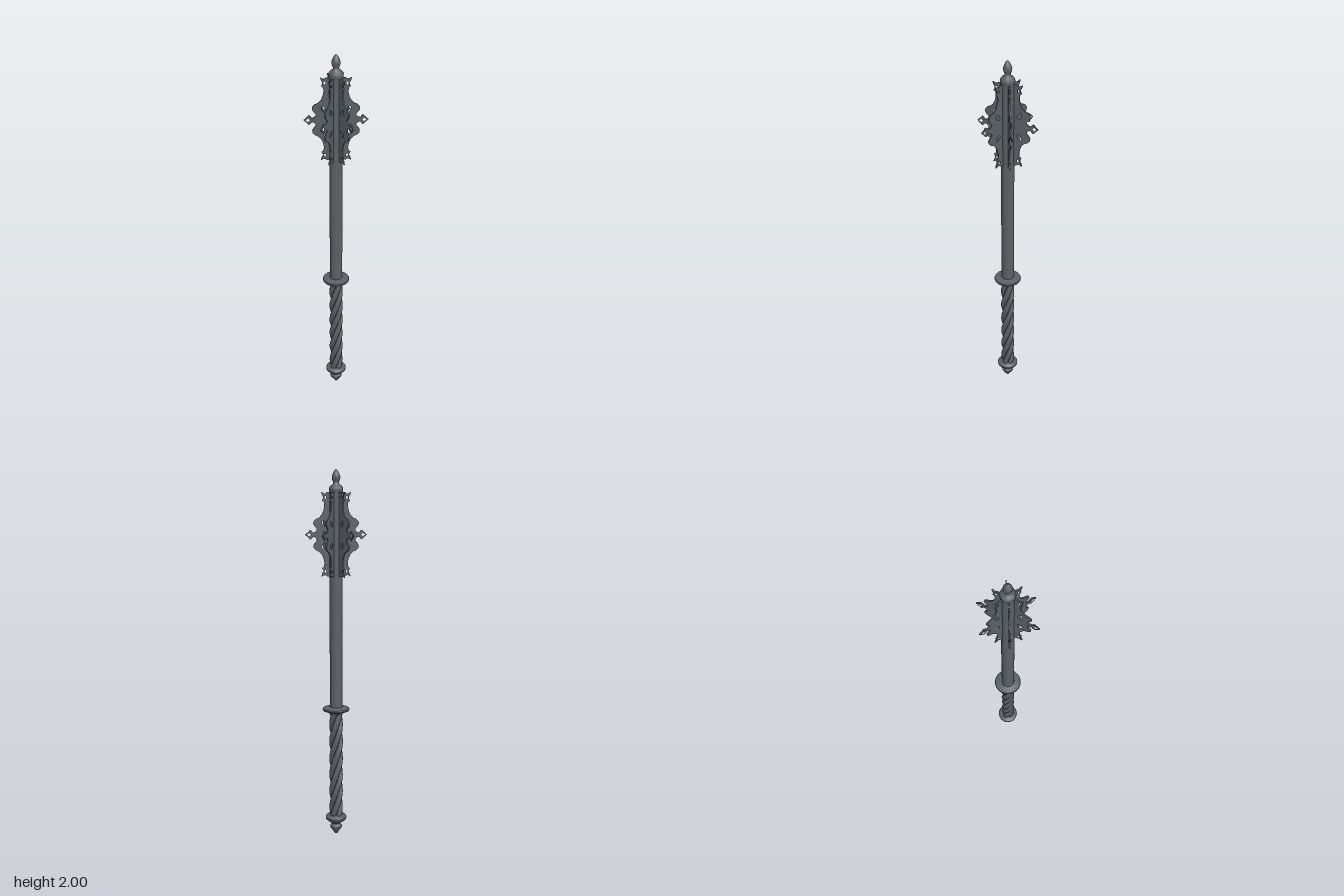
import * as THREE from 'three';
import { toCreasedNormals } from 'three/addons/utils/BufferGeometryUtils.js';

export function createModel() {
  const group = new THREE.Group();
  const steel = new THREE.MeshStandardMaterial({ color: 0x596067 });
  steel.name = 'darkSteel';

  const add = (name, geometry, parent = group) => {
    const mesh = new THREE.Mesh(geometry, steel);
    mesh.name = name;
    parent.add(mesh);
    return mesh;
  };
  const vectors = (points) => points.map(([x, y]) => new THREE.Vector2(x, y));
  // Turned part from a bottom-to-top profile of [radius, height]
  const turned = (name, profile) =>
    add(name, toCreasedNormals(new THREE.LatheGeometry(vectors(profile), 24), 0.7));

  // Pommel with pointed bulb and collar
  turned('pommel', [
    [0, 0], [0.007, 0.004], [0.02, 0.024], [0.032, 0.041], [0.033, 0.05], [0.026, 0.059],
    [0.023, 0.066], [0.03, 0.073], [0.046, 0.082], [0.057, 0.094], [0.058, 0.104],
    [0.052, 0.111], [0.038, 0.116], [0, 0.118],
  ]);

  // Grip: four twisted strands around a core
  const grip = new THREE.Group();
  grip.name = 'grip';
  group.add(grip);
  const bottom = 0.105, top = 0.715, pitch = 0.38, strands = 4;
  const core = add('gripCore', new THREE.CylinderGeometry(0.024, 0.024, top - bottom, 16), grip);
  core.position.y = (bottom + top) / 2;
  for (let s = 0; s < strands; s++) {
    const points = [];
    for (let i = 0; i <= 48; i++) {
      const y = bottom + (top - bottom) * i / 48;
      const a = (y / pitch + s / strands) * Math.PI * 2;
      points.push(new THREE.Vector3(0.022 * Math.sin(a), y, 0.022 * Math.cos(a)));
    }
    add('gripStrand', new THREE.TubeGeometry(new THREE.CatmullRomCurve3(points), 96, 0.0155, 10), grip);
  }

  // Flared disc guard
  turned('guard', [
    [0, 0.698], [0.036, 0.698], [0.039, 0.708], [0.05, 0.715], [0.071, 0.72],
    [0.0735, 0.726], [0.071, 0.732], [0.05, 0.734], [0.035, 0.74], [0, 0.74],
  ]);

  // Shaft
  turned('shaft', [[0, 0.73], [0.034, 0.73], [0.034, 1.887], [0, 1.887]]);

  // Finial with rounded collar and pointed bud
  turned('finial', [
    [0, 1.882], [0.034, 1.882], [0.037, 1.893], [0.036, 1.905], [0.029, 1.916], [0.018, 1.922],
    [0.015, 1.929], [0.016, 1.936], [0.021, 1.948], [0.022, 1.96], [0.018, 1.974],
    [0.009, 1.991], [0, 2],
  ]);

  // Flange outline: upper half as [reach, height from middle], mirrored below
  const half = [
    [0.03, 0.217], [0.047, 0.217], [0.056, 0.21], [0.064, 0.211], [0.077, 0.218],
    [0.073, 0.203], [0.067, 0.193], [0.067, 0.184], [0.073, 0.174], [0.063, 0.166],
    [0.061, 0.145], [0.066, 0.122], [0.075, 0.102], [0.088, 0.088], [0.106, 0.08],
    [0.117, 0.069], [0.119, 0.055], [0.111, 0.042], [0.101, 0.032], [0.101, 0.021],
    [0.111, 0.013], [0.122, 0.011], [0.127, 0.02], [0.136, 0.025], [0.143, 0.016],
  ];
  const outline = [...half, [0.161, 0], ...half.map(([r, y]) => [r, -y]).reverse()];
  const flangeShape = new THREE.Shape(vectors(outline));

  // Pierced openings
  const pierce = (x, y, rx, ry, tilt = 0) => {
    const hole = new THREE.Path();
    hole.absellipse(x, y, rx, ry, 0, Math.PI * 2, true, tilt);
    flangeShape.holes.push(hole);
  };
  for (const side of [1, -1]) {
    pierce(0.062, side * 0.056, 0.009, 0.017, side * -0.5);
    pierce(0.056, side * 0.19, 0.005, 0.008);
  }
  flangeShape.holes.push(new THREE.Path(vectors([[0.13, 0], [0.139, 0.01], [0.152, 0], [0.139, -0.01]])));

  const thickness = 0.007;
  const flangeGeometry = new THREE.ExtrudeGeometry(flangeShape, {
    depth: thickness, bevelEnabled: false, curveSegments: 6,
  });
  flangeGeometry.translate(0, 0, -thickness / 2);

  // Six flanges around the head
  for (let i = 0; i < 6; i++) {
    const flange = add('flange', flangeGeometry);
    flange.position.y = 1.666;
    flange.rotation.y = -THREE.MathUtils.degToRad(22 + i * 60);
  }
  return group;
}
